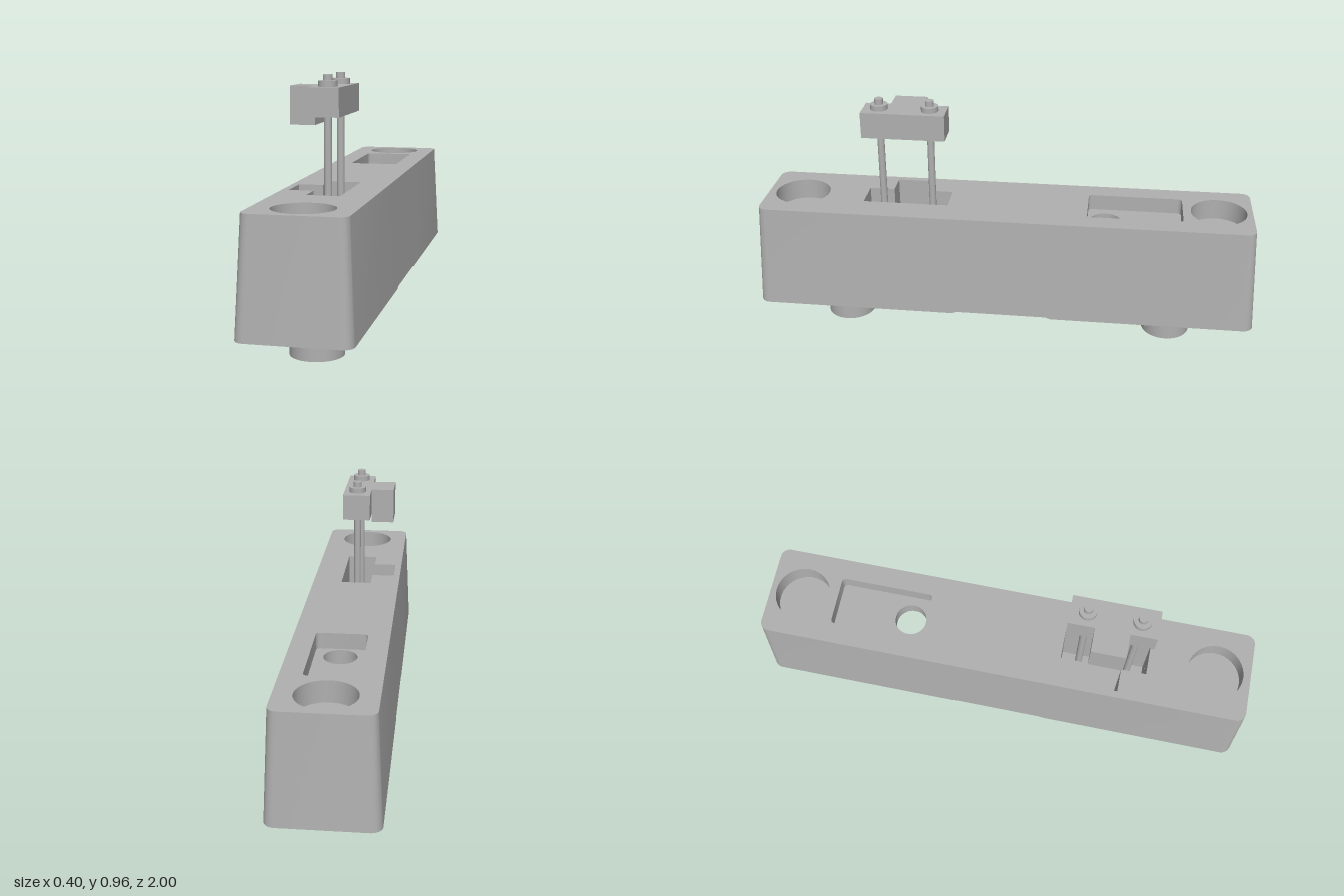
import * as THREE from 'three';
import { mergeGeometries, toCreasedNormals } from 'three/addons/utils/BufferGeometryUtils.js';

const BASE = 0.125, TOP = 0.543, CEILING = 0.42;
const grey = new THREE.MeshStandardMaterial({ color: 0xb0b0b0 });
grey.name = 'plain grey';

// Plan outlines are counter-clockwise Vector2 lists in (x, -z).
const v = (x, z) => new THREE.Vector2(x, -z);

function circle(r, z, n = 40) {
  return Array.from({ length: n }, (_, i) => {
    const a = (i / n) * Math.PI * 2;
    return new THREE.Vector2(r * Math.cos(a), -z + r * Math.sin(a));
  });
}

// Rounded rectangle; notch adds points along the long sides for the rim step
function roundRect(hx, hz, r, z = 0, notch = false) {
  const pts = [];
  const corners = [[1, 1], [-1, 1], [-1, -1], [1, -1]];
  corners.forEach(([sx, sy], c) => {
    for (let i = 0; i <= 6; i++) {
      const a = (c + i / 6) * Math.PI / 2;
      pts.push(new THREE.Vector2(sx * (hx - r) + r * Math.cos(a), -z + sy * (hz - r) + r * Math.sin(a)));
    }
    if (notch && c % 2 === 1) for (const d of [0.2, 0.18, -0.18, -0.2]) pts.push(new THREE.Vector2(-hx, d));
    if (notch && c === 3) for (const d of [-0.2, -0.18, 0.18, 0.2]) pts.push(new THREE.Vector2(hx, d));
    if (notch && c === 1) return;
  });
  return pts;
}

// T-shaped outline of the pit, grown by g
const tee = (g) => [
  v(-0.056 - g, 0.565 + g), v(0.055 + g, 0.565 + g), v(0.055 + g, 0.235 - g), v(-0.056 - g, 0.235 - g),
  v(-0.056 - g, 0.335 - g), v(-0.148 - g, 0.335 - g), v(-0.148 - g, 0.465 + g), v(-0.056 - g, 0.465 + g),
];

const level = (pts, y) => pts.map((p) => new THREE.Vector3(p.x, y, -p.y));

// Strip of faces between two loops (faces outward when a is below b)
function skin(a, b) {
  const pos = [];
  a.forEach((p, i) => {
    const j = (i + 1) % a.length;
    for (const q of [p, a[j], b[j], p, b[j], b[i]]) pos.push(q.x, q.y, q.z);
  });
  const g = new THREE.BufferGeometry();
  g.setAttribute('position', new THREE.Float32BufferAttribute(pos, 3));
  return g;
}

// Flat horizontal face with holes
function cap(pts, y, holes = [], down = false) {
  const shape = new THREE.Shape(pts);
  shape.holes = holes.map((h) => new THREE.Path(h));
  let g = new THREE.ShapeGeometry(shape).rotateX(-Math.PI / 2).translate(0, y, 0).toNonIndexed();
  g.deleteAttribute('uv');
  g.deleteAttribute('normal');
  if (down) {
    const p = g.attributes.position.array;
    for (let i = 0; i < p.length; i += 9)
      for (let k = 0; k < 3; k++) [p[i + 3 + k], p[i + 6 + k]] = [p[i + 6 + k], p[i + 3 + k]];
  }
  return g;
}

function join(parts) {
  const g = mergeGeometries(parts);
  g.computeVertexNormals();
  return toCreasedNormals(g, 0.5);
}

function createModel() {
  const model = new THREE.Group();
  model.name = 'casing';
  const add = (name, geometry, x = 0, y = 0, z = 0) => {
    const m = new THREE.Mesh(geometry, grey);
    m.name = name;
    m.position.set(x, y, z);
    model.add(m);
  };

  // Plan outlines; side points must line up between lower and upper loops
  const sides = (hx, hz, r) => {
    const p = roundRect(hx, hz, r);
    const right = [-0.2, -0.18, 0.18, 0.2].map((d) => new THREE.Vector2(hx, d));
    const left = [0.2, 0.18, -0.18, -0.2].map((d) => new THREE.Vector2(-hx, d));
    return [...p.slice(0, 14), ...left, ...p.slice(14), ...right];
  };
  const outerTop = sides(0.18, 0.976, 0.035), innerTop = sides(0.155, 0.95, 0.01);
  const rim = (pts) => level(pts, BASE).map((p) => {
    if (Math.abs(p.z) < 0.19) { p.y += 0.007; p.x *= 0.998; }
    return p;
  });
  const outerRim = rim(sides(0.2, 1, 0.04)), innerRim = rim(sides(0.17, 0.97, 0.01));
  const bores = [circle(0.11, -0.843), circle(0.11, 0.837)];
  const recess = roundRect(0.098, 0.187, 0.015, -0.515);
  const hole = circle(0.063, -0.4, 32);
  const pit = tee(0.006), pitOuter = tee(0.02);
  const BORE = 0.46, RECESS = 0.48, PIT = 0.27, PIT_OUT = 0.25;

  // Hollow tapered body
  add('body', join([
    skin(outerRim, level(outerTop, TOP)),
    skin(innerRim, outerRim),
    skin(level(innerTop, CEILING), innerRim),
    cap(outerTop, TOP, [...bores, recess, pit]),
    cap(innerTop, CEILING, [hole, pitOuter], true),
  ]));

  // Round sockets in the top
  bores.forEach((b) => add('topSocket', join([skin(level(b, TOP), level(b, BORE)), cap(b, BORE)])));

  // Shallow recess with a through hole
  add('recess', join([
    skin(level(recess, TOP), level(recess, RECESS)),
    cap(recess, RECESS, [hole]),
    skin(level(hole, RECESS), level(hole, CEILING)),
  ]));

  // Pit under the key, with its housing inside the body
  add('keyPit', join([
    skin(level(pit, TOP), level(pit, PIT)),
    cap(pit, PIT),
    skin(level(pitOuter, PIT_OUT), level(pitOuter, CEILING)),
    cap(pitOuter, PIT_OUT, [], true),
  ]));

  // Posts with cross-shaped sockets
  const post = (bottom) => {
    const shape = new THREE.Shape(circle(0.097, 0));
    const l = 0.074, w = 0.021;
    shape.holes.push(new THREE.Path([
      [l, -w], [l, w], [w, w], [w, l], [-w, l], [-w, w],
      [-l, w], [-l, -w], [-w, -w], [-w, -l], [w, -l], [w, -w],
    ].map(([x, y]) => new THREE.Vector2(x, y))));
    const g = new THREE.ExtrudeGeometry(shape, { depth: CEILING - bottom, bevelEnabled: false });
    return toCreasedNormals(g.rotateX(-Math.PI / 2), 0.5);
  };
  for (const [z, y] of [[0.667, 0], [0, BASE], [-0.667, 0]]) add('post', post(y), 0, y, z);

  // Raised key: bar and side tab
  add('keyBar', new THREE.BoxGeometry(0.111, 0.104, 0.33), -0.0005, 0.868, 0.4);
  add('keyTab', new THREE.BoxGeometry(0.092, 0.14, 0.13), -0.102, 0.85, 0.4);

  // Guide rods with collars and tips
  const rod = (r, y0, y1) => new THREE.CylinderGeometry(r, r, y1 - y0, 24).translate(0, (y0 + y1) / 2, 0);
  for (const z of [0.3, 0.5]) {
    add('rod', rod(0.014, PIT, 0.83), 0, 0, z);
    add('collar', rod(0.034, 0.92, 0.941), 0, 0, z);
    add('rodTip', rod(0.017, 0.941, 0.963), 0, 0, z);
  }
  return model;
}

export { createModel };
